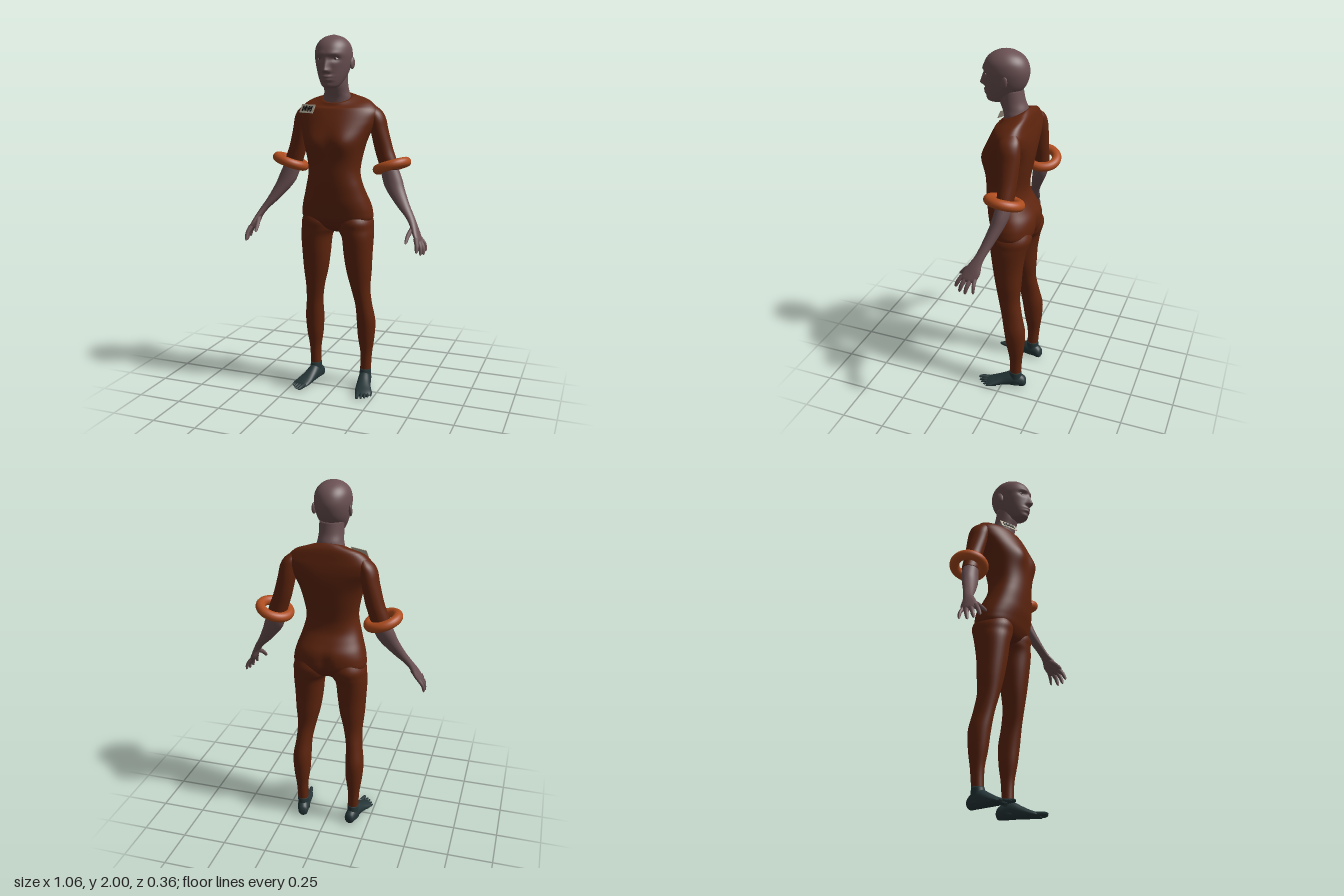
import * as THREE from 'three';

const mat = (name, color, side = THREE.FrontSide) => {
  const m = new THREE.MeshStandardMaterial({ color, side });
  m.name = name;
  return m;
};
const bump = (d, s) => Math.exp(-(d * d) / (2 * s * s));
const catmull = (a, b, c, d, t) =>
  0.5 * (2 * b + (c - a) * t + (2 * a - 5 * b + 4 * c - d) * t * t + (3 * b - a - 3 * c + d) * t * t * t);

// Smooth skin through sections [y, centreX, halfWidth, frontZ, backZ], lowest first.
function loft(sections, { n = 36, steps = 5, p = 2, warp } = {}) {
  const rows = [];
  const at = (i) => sections[Math.min(Math.max(i, 0), sections.length - 1)];
  for (let i = 0; i < sections.length - 1; i++)
    for (let k = 0; k < steps; k++)
      rows.push(at(i).map((_, c) => catmull(at(i - 1)[c], at(i)[c], at(i + 1)[c], at(i + 2)[c], k / steps)));
  rows.push(at(sections.length - 1));
  const pos = [], idx = [];
  const put = (x, y, z) => {
    const v = new THREE.Vector3(x, y, z);
    if (warp) warp(v);
    pos.push(v.x, v.y, v.z);
  };
  const round = (v) => Math.sign(v) * Math.pow(Math.abs(v), 2 / p);
  for (const [y, cx, rx, zf, zb] of rows)
    for (let j = 0; j < n; j++) {
      const a = (j / n) * Math.PI * 2;
      put(cx + rx * round(Math.cos(a)), y, (zf + zb) / 2 + ((zf - zb) / 2) * round(Math.sin(a)));
    }
  for (let i = 0; i < rows.length - 1; i++)
    for (let j = 0; j < n; j++) {
      const a = i * n + j, b = i * n + ((j + 1) % n);
      idx.push(a, a + n, b, b, a + n, b + n);
    }
  // end caps
  const last = rows.length - 1;
  for (const r of [0, last]) {
    const [y, cx, , zf, zb] = rows[r], c = pos.length / 3;
    put(cx, y, (zf + zb) / 2);
    for (let j = 0; j < n; j++) {
      const a = r * n + j, b = r * n + ((j + 1) % n);
      r ? idx.push(c, b, a) : idx.push(c, a, b);
    }
  }
  const g = new THREE.BufferGeometry();
  g.setAttribute('position', new THREE.Float32BufferAttribute(pos, 3));
  g.setIndex(idx);
  g.computeVertexNormals();
  return g;
}

// Tube that narrows to a rounded tip, for fingers and toes.
function digit(points, r) {
  const curve = new THREE.CatmullRomCurve3(points.map((q) => new THREE.Vector3(...q)));
  const seg = 14, rad = 10;
  const g = new THREE.TubeGeometry(curve, seg, r, rad), a = g.attributes.position;
  const v = new THREE.Vector3();
  for (let k = 0; k < a.count; k++) {
    const t = Math.floor(k / (rad + 1)) / seg, c = curve.getPointAt(t);
    v.fromBufferAttribute(a, k).sub(c).multiplyScalar((1 - 0.3 * t) * Math.sqrt(1 - t ** 8)).add(c);
    a.setXYZ(k, v.x, v.y, v.z);
  }
  return g;
}

export function createModel() {
  const root = new THREE.Group();
  root.name = 'figure';
  const skin = mat('skin', 0x6b5153), suit = mat('suit', 0x5f250e), orange = mat('armRing', 0xad4c1e);
  const sock = mat('sock', 0x263638), white = mat('eyeWhite', 0xc4b8b2), dark = mat('black', 0x14120f);
  const card = mat('tagCard', 0xb9b09c);
  const add = (name, geo, m, parent = root) => {
    const mesh = new THREE.Mesh(geo, m);
    mesh.name = name;
    parent.add(mesh);
    return mesh;
  };

  // Torso: the collar slopes down to the front, the shoulders sit back
  add('torso', loft([
    [0.925, 0, 0.03, -0.02, -0.06], [0.95, 0, 0.13, 0.05, -0.11], [1, 0, 0.198, 0.086, -0.146],
    [1.05, 0, 0.202, 0.102, -0.153], [1.1, 0, 0.19, 0.115, -0.145], [1.15, 0, 0.173, 0.122, -0.118],
    [1.2, 0, 0.158, 0.128, -0.094], [1.25, 0, 0.146, 0.132, -0.088], [1.3, 0, 0.145, 0.134, -0.094],
    [1.38, 0, 0.16, 0.136, -0.11], [1.45, 0, 0.18, 0.134, -0.122], [1.5, 0, 0.2, 0.124, -0.127],
    [1.55, 0, 0.222, 0.105, -0.127], [1.6, 0, 0.228, 0.08, -0.122], [1.64, 0, 0.185, 0.058, -0.113],
    [1.66, 0, 0.12, 0.05, -0.1], [1.672, 0, 0.082, 0.044, -0.09],
  ], {
    n: 64, p: 2.3, warp: (v) => {
      const ax = Math.abs(v.x);
      if (v.z > 0) v.z += 0.02 * bump(ax - 0.085, 0.045) * bump(v.y - 1.43, 0.045);
      else v.z += 0.022 * bump(v.x, 0.02) * bump(v.y - 1.0, 0.06);
      v.z -= 0.03 * THREE.MathUtils.smoothstep(v.y, 1.42, 1.56) * (ax / 0.23) ** 2;
      v.y -= 0.44 * (v.z + 0.025) * THREE.MathUtils.smoothstep(v.y, 1.61, 1.67);
    },
  }), suit);

  // Neck and head, with the face shaped by small swellings and hollows
  add('neck', loft([
    [1.62, 0, 0.076, 0.036, -0.084], [1.67, 0, 0.076, 0.041, -0.087], [1.7, 0, 0.069, 0.052, -0.086],
    [1.74, 0, 0.066, 0.066, -0.07], [1.8, 0, 0.066, 0.07, -0.058],
  ]), skin);
  add('head', loft([
    [1.722, 0, 0.018, 0.115, 0.07], [1.73, 0, 0.04, 0.13, 0.035], [1.75, 0, 0.056, 0.137, 0.0],
    [1.785, 0, 0.073, 0.143, -0.045], [1.82, 0, 0.085, 0.146, -0.073], [1.86, 0, 0.094, 0.15, -0.088],
    [1.9, 0, 0.098, 0.153, -0.092], [1.94, 0, 0.092, 0.14, -0.08], [1.97, 0, 0.073, 0.115, -0.055],
    [1.99, 0, 0.045, 0.08, -0.018], [2, 0, 0.01, 0.042, 0.022],
  ], {
    n: 112, steps: 8, warp: (v) => {
      if (v.z < 0.06) return;
      const ax = Math.abs(v.x), y = v.y;
      const t = THREE.MathUtils.clamp((1.885 - y) / 0.07, 0, 1);
      const nose = y > 1.815 ? t : bump(y - 1.815, 0.007);
      v.z += 0.032 * nose * bump(ax, 0.009 + 0.003 * t);
      v.z += 0.007 * bump(ax - 0.014, 0.006) * bump(y - 1.812, 0.008);
      v.z -= 0.014 * bump(ax - 0.043, 0.017) * bump(y - 1.875, 0.011);
      v.z += 0.005 * bump(ax - 0.035, 0.025) * bump(y - 1.9, 0.009);
      v.z += 0.012 * bump(ax, 0.02) * (bump(y - 1.783, 0.006) + bump(y - 1.766, 0.006));
      v.z += 0.005 * bump(ax, 0.018) * bump(y - 1.738, 0.01);
    },
  }), skin);

  // Chest tag: a tilted card with plain dark bars
  const tag = new THREE.Group();
  tag.name = 'chestTag';
  const u = new THREE.Vector3(0.9, 0, 0.43).normalize();
  const n = new THREE.Vector3(-0.37, 0.44, 0.78).normalize();
  tag.setRotationFromMatrix(new THREE.Matrix4().makeBasis(u, n.clone().cross(u).normalize(), n));
  tag.position.set(-0.132, 1.612, 0.085);
  root.add(tag);
  add('tagCard', new THREE.BoxGeometry(0.106, 0.05, 0.003), card, tag);
  [0.008, 0.005, 0.009, 0.004, 0.008, 0.005, 0.009].forEach((w, i) =>
    add('tagBar', new THREE.BoxGeometry(w, i % 2 ? 0.024 : 0.032, 0.002), dark, tag)
      .position.set(-0.033 + i * 0.011, 0, 0.002));
  add('tagStripe', new THREE.BoxGeometry(0.07, 0.006, 0.002), dark, tag).position.set(0, 0.002, 0.002);

  for (const s of [1, -1]) {
    const side = s > 0 ? 'left' : 'right';
    const flip = (rows) => rows.map(([y, cx, ...r]) => [y, s * cx, ...r]);
    const ball = (name, m, r, [x, y, z], sc) => {
      const b = add(side + name, new THREE.SphereGeometry(r, 20, 14), m);
      b.position.set(s * x, y, z);
      b.scale.set(...sc);
      return b;
    };
    // Eyes and ears
    ball('Eye', white, 0.014, [0.044, 1.875, 0.115], [1, 0.55, 1]);
    ball('Pupil', dark, 0.005, [0.044, 1.875, 0.1265], [1, 1, 0.8]);
    ball('Ear', skin, 0.032, [0.097, 1.853, 0.008], [0.3, 1, 0.6]).rotation.set(-0.2, s * -0.3, 0);

    // Leg and ankle
    add(side + 'Leg', loft(flip([
      [0.095, 0.155, 0.031, -0.047, -0.112], [0.2, 0.158, 0.033, -0.045, -0.12],
      [0.3, 0.158, 0.047, -0.027, -0.132], [0.4, 0.158, 0.052, -0.012, -0.135],
      [0.5, 0.15, 0.046, 0.006, -0.114], [0.6, 0.138, 0.053, 0.028, -0.096],
      [0.7, 0.13, 0.07, 0.047, -0.1], [0.8, 0.125, 0.08, 0.063, -0.106],
      [0.9, 0.122, 0.088, 0.076, -0.122], [0.95, 0.108, 0.1, 0.08, -0.138],
      [1, 0.105, 0.097, 0.083, -0.147], [1.07, 0.1, 0.06, 0.05, -0.12],
    ]), { p: 2.1 }), suit);
    add(side + 'Ankle', loft(flip([
      [0.02, 0.155, 0.034, -0.02, -0.125], [0.06, 0.155, 0.033, -0.035, -0.118], [0.108, 0.155, 0.0325, -0.045, -0.1135],
    ])), sock);

    // Foot, turned out, with five toes
    const foot = new THREE.Group();
    foot.name = side + 'Foot';
    foot.position.x = s * 0.163;
    foot.rotation.y = s * 0.25;
    root.add(foot);
    add('footBody', loft(flip([
      [-0.142, 0.012, 0.012, -0.02, -0.045], [-0.13, 0.012, 0.028, -0.002, -0.068],
      [-0.09, 0.012, 0.034, 0, -0.092], [-0.05, 0.008, 0.036, 0, -0.094], [0, 0.006, 0.04, 0, -0.068],
      [0.04, 0.008, 0.046, 0, -0.048], [0.075, 0.01, 0.047, 0, -0.034], [0.1, 0.008, 0.036, -0.004, -0.022],
    ])).rotateX(Math.PI / 2), sock, foot);
    [[-0.023, 0.148, 0.0135], [0.0, 0.142, 0.009], [0.019, 0.132, 0.009], [0.037, 0.118, 0.0085], [0.053, 0.1, 0.008]]
      .forEach(([x, z, r]) => add('toe', digit([
        [s * (x * 0.85), 0.017, z - 0.065], [s * x, 0.017, z - 0.03], [s * x, r, z],
      ], r), sock, foot));

    // Sleeve, forearm and palm as one tapering limb
    add(side + 'Sleeve', loft(flip([
      [1.285, 0.29, 0.054, -0.026, -0.113], [1.34, 0.272, 0.053, -0.024, -0.116],
      [1.4, 0.252, 0.051, -0.022, -0.12], [1.5, 0.228, 0.048, -0.008, -0.125],
      [1.56, 0.216, 0.047, -0.002, -0.122], [1.6, 0.202, 0.038, -0.01, -0.112], [1.632, 0.185, 0.012, -0.04, -0.085],
    ])), suit);
    add(side + 'Forearm', loft(flip([
      [0.915, 0.496, 0.008, 0.09, 0.022], [0.93, 0.49, 0.016, 0.1, 0.01], [0.96, 0.475, 0.019, 0.092, -0.003],
      [1, 0.456, 0.02, 0.066, -0.004], [1.04, 0.43, 0.025, 0.04, -0.016], [1.1, 0.382, 0.038, 0.018, -0.046],
      [1.18, 0.329, 0.053, -0.005, -0.084], [1.24, 0.305, 0.055, -0.018, -0.102], [1.32, 0.278, 0.046, -0.032, -0.108],
    ])), skin);

    // Fingers, fanned from the knuckles, and thumb
    const fingers = [
      [[0.484, 0.94, 0.09], [0.496, 0.905, 0.113], [0.498, 0.87, 0.128]],
      [[0.488, 0.935, 0.067], [0.51, 0.895, 0.087], [0.514, 0.853, 0.1]],
      [[0.49, 0.93, 0.043], [0.516, 0.892, 0.056], [0.522, 0.85, 0.066]],
      [[0.49, 0.935, 0.02], [0.516, 0.9, 0.018], [0.524, 0.862, 0.018]],
      [[0.455, 0.99, 0.045], [0.442, 0.955, 0.09], [0.438, 0.915, 0.13]],
    ];
    fingers.forEach((pts, i) => add(side + (i < 4 ? 'Finger' : 'Thumb'),
      digit(pts.map(([x, y, z]) => [s * x, y, z]), i === 3 ? 0.011 : 0.0135), skin));

    // Arm ring, square to the arm
    const ring = add(side + 'ArmRing', new THREE.TorusGeometry(0.081, 0.027, 20, 56), orange);
    ring.position.set(s * 0.301, 1.303, -0.07);
    ring.quaternion.setFromUnitVectors(new THREE.Vector3(0, 0, 1), new THREE.Vector3(s * -0.31, 0.94, -0.1).normalize());
  }
  return root;
}
